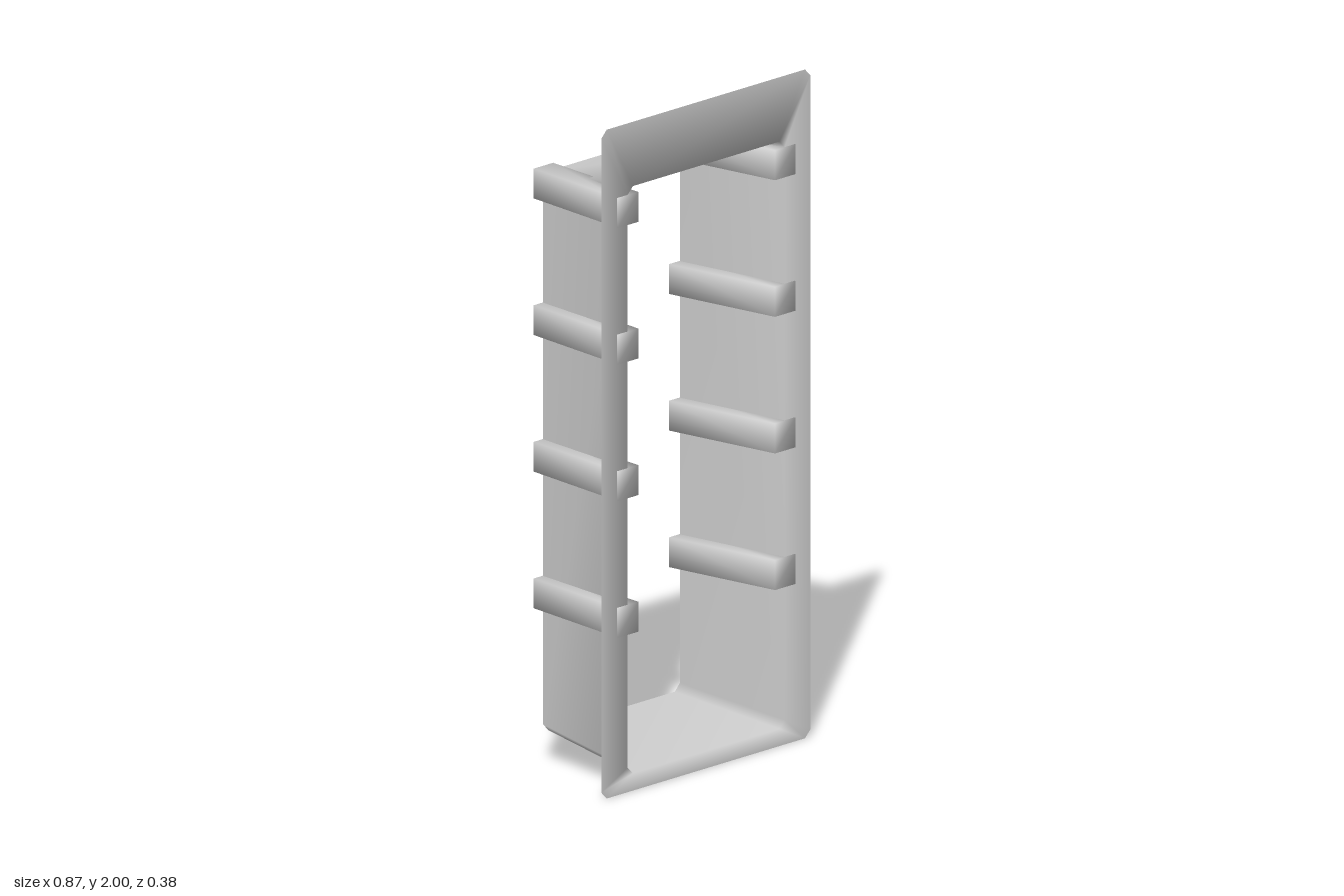
import * as THREE from 'three';

const material = new THREE.MeshStandardMaterial({ color: 0xcccccc, side: THREE.DoubleSide });

// Counter-clockwise rectangle at depth z, with corners cut by c (c = 0: plain corners)
function rectRing(x0, x1, y0, y1, z, c = 0) {
  if (c === 0) return [[x0, y0, z], [x1, y0, z], [x1, y1, z], [x0, y1, z]];
  return [
    [x0 + c, y0, z], [x1 - c, y0, z], [x1, y0 + c, z], [x1, y1 - c, z],
    [x1 - c, y1, z], [x0 + c, y1, z], [x0, y1 - c, z], [x0, y0 + c, z],
  ];
}

// Skin through matching rings with shared, smooth vertices; optionally close the last ring
function loft(name, rings, cap = false) {
  const n = rings[0].length;
  const index = [];
  for (let i = 0; i < rings.length - 1; i++) {
    for (let j = 0; j < n; j++) {
      const k = (j + 1) % n;
      const a = i * n + j, b = i * n + k, c = (i + 1) * n + k, d = (i + 1) * n + j;
      index.push(a, b, c, a, c, d);
    }
  }
  if (cap) {
    const s = (rings.length - 1) * n;
    for (let j = 1; j < n - 1; j++) index.push(s, s + j, s + j + 1);
  }
  const geometry = new THREE.BufferGeometry();
  geometry.setAttribute('position', new THREE.Float32BufferAttribute(rings.flat(2), 3));
  geometry.setIndex(index);
  geometry.computeVertexNormals();
  const mesh = new THREE.Mesh(geometry, material);
  mesh.name = name;
  return mesh;
}

export function createModel() {
  const model = new THREE.Group();
  model.name = 'windowFrame';

  // Flat front flange running into the tapered, open-backed tunnel
  model.add(loft('flangeAndTunnel', [
    rectRing(-0.435, 0.435, 0, 2, 0.184, 0.022),
    rectRing(-0.327, 0.327, 0.052, 1.808, 0.185, 0.022),
    rectRing(-0.285, 0.285, 0.095, 1.767, -0.188, 0.022),
  ]));

  // Four pairs of hollow slanted bars, closed in front and open at the back
  const bars = new THREE.Group();
  bars.name = 'sideBars';
  for (let row = 0; row < 4; row++) {
    const y0 = 0.472 + row * 0.4085, y1 = y0 + 0.089;
    for (const side of [-1, 1]) {
      const ring = (inner, outer, z) => (side > 0
        ? rectRing(inner, outer, y0, y1, z)
        : rectRing(-outer, -inner, y0, y1, z));
      bars.add(loft(side > 0 ? 'leftBar' : 'rightBar', [
        ring(0.241, 0.322, -0.19),
        ring(0.284, 0.37, 0.188),
      ], true));
    }
  }
  model.add(bars);
  return model;
}
